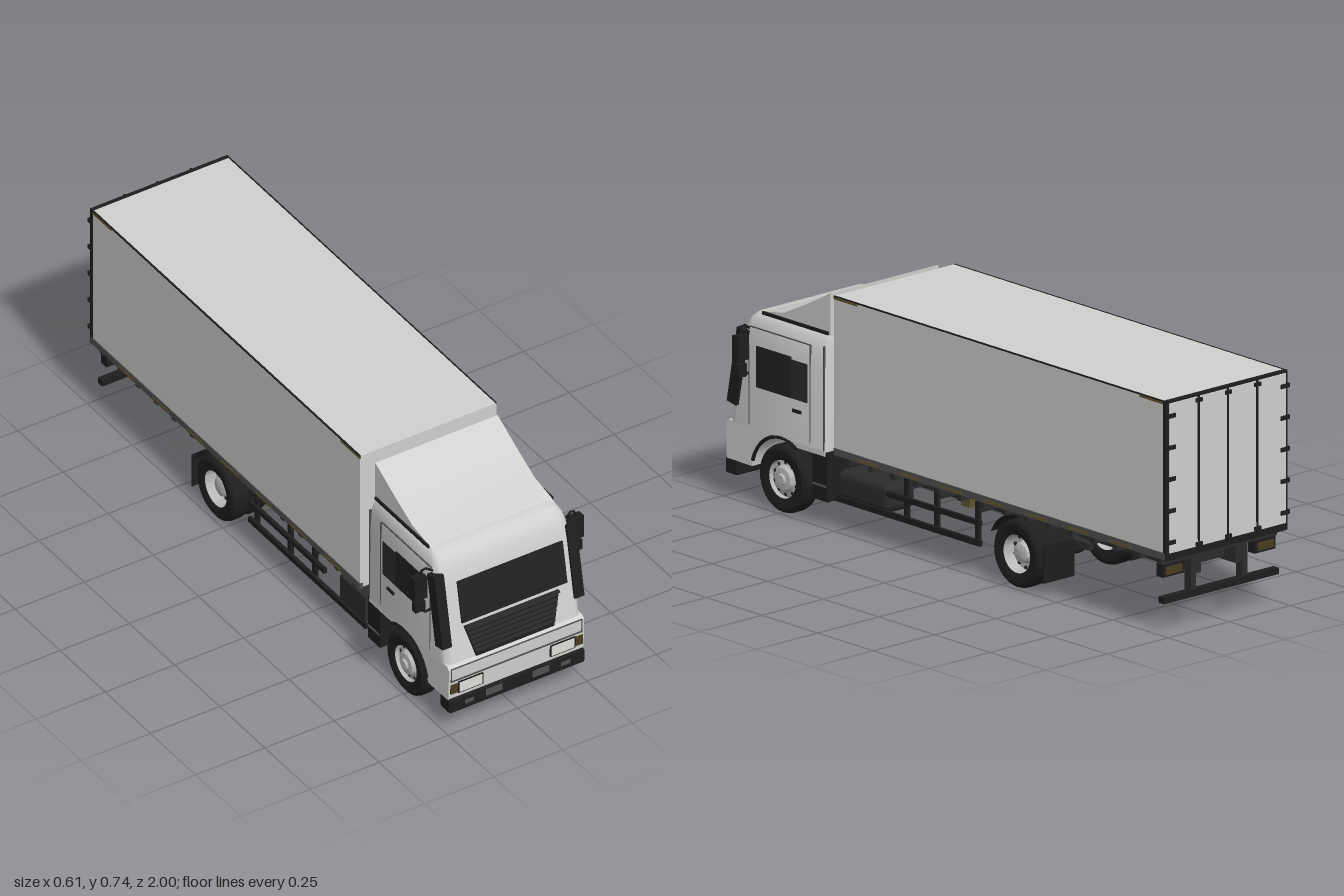
import * as THREE from 'three';
import { toCreasedNormals } from 'three/addons/utils/BufferGeometryUtils.js';
import { RoundedBoxGeometry } from 'three/addons/geometries/RoundedBoxGeometry.js';

const mat = (name, color, side = THREE.FrontSide) => {
  const m = new THREE.MeshStandardMaterial({ color, side });
  m.name = name;
  return m;
};

export function createModel() {
  const truck = new THREE.Group();
  truck.name = 'boxTruck';
  const body = mat('bodyWhite', 0xd0d0ce);
  const black = mat('blackPlastic', 0x1e1e1e, THREE.DoubleSide);
  const chassis = mat('chassisDark', 0x2c2c2c);
  const glass = mat('darkGlass', 0x222222);
  const grey = mat('trimGrey', 0x505050);
  const metal = mat('rimMetal', 0xb8b8b6, THREE.DoubleSide);
  const lens = mat('lampLens', 0xdededa);
  const amber = mat('amberLens', 0x4a3c20);
  const olive = mat('markerOlive', 0x62562f);

  const add = (name, geo, m, parent = truck) => {
    const mesh = new THREE.Mesh(geo, m);
    mesh.name = name;
    parent.add(mesh);
    return mesh;
  };
  // Box given by its limits on each axis
  const box = (name, m, x0, x1, y0, y1, z0, z1, parent) => {
    const b = add(name, new THREE.BoxGeometry(Math.abs(x1 - x0), y1 - y0, z1 - z0), m, parent);
    b.position.set((x0 + x1) / 2, (y0 + y1) / 2, (z0 + z1) / 2);
    return b;
  };
  const pair = (f) => [1, -1].forEach(f);
  // Box repeated on both sides
  const boxes = (name, m, x0, x1, ...r) => pair((s) => box(name, m, s * x0, s * x1, ...r));
  const rod = (name, m, r, pts) => add(name, new THREE.TubeGeometry(
    new THREE.CatmullRomCurve3(pts.map((p) => new THREE.Vector3(...p)), false, 'catmullrom', 0.1), 12, r, 6), m);
  // Side outline in (z, y) extruded across the width
  const acrossX = (shape, width) => {
    const g = new THREE.ExtrudeGeometry(shape, { depth: width, bevelEnabled: false, curveSegments: 20 });
    return toCreasedNormals(g.translate(0, 0, -width / 2).rotateY(-Math.PI / 2), 0.6);
  };

  // Upper cab: rounded rectangles stacked upward [y, half width, front z]
  const rings = [[0.24, 0.245, 0.983], [0.5, 0.243, 0.934], [0.555, 0.239, 0.922],
    [0.585, 0.232, 0.908], [0.602, 0.222, 0.888], [0.608, 0.205, 0.86]];
  const verts = [], faces = [], n = 24;
  rings.forEach(([y, w, zf]) => {
    for (let q = 0; q < 4; q++) {
      const r = q < 2 ? 0.03 : 0.008;
      const cx = (q === 0 || q === 3 ? 1 : -1) * (w - r), cz = q < 2 ? zf - r : 0.55 + r;
      for (let k = 0; k < 6; k++) {
        const a = (q + k / 5) * Math.PI / 2;
        verts.push(cx + r * Math.cos(a), y, cz + r * Math.sin(a));
      }
    }
  });
  for (let i = 0; i < rings.length - 1; i++) for (let j = 0; j < n; j++) {
    const a = i * n + j, b = i * n + (j + 1) % n;
    faces.push(a, a + n, b + n, a, b + n, b);
  }
  const top = (rings.length - 1) * n;
  verts.push(0, 0.608, 0.7);
  for (let j = 0; j < n; j++) faces.push(top + n, top + (j + 1) % n, top + j);
  const cabGeo = new THREE.BufferGeometry();
  cabGeo.setAttribute('position', new THREE.Float32BufferAttribute(verts, 3));
  cabGeo.setIndex(faces);
  add('cabUpper', toCreasedNormals(cabGeo, 0.7), body);

  // Lower cab with wheel arch
  const low = new THREE.Shape();
  low.moveTo(0.55, 0.223);
  low.lineTo(0.68, 0.223);
  low.absarc(0.746, 0.107, 0.132, 2.05, 0.1, true);
  low.lineTo(0.99, 0.122);
  low.lineTo(0.994, 0.235);
  low.lineTo(0.982, 0.245);
  low.lineTo(0.55, 0.245);
  add('cabLower', acrossX(low, 0.488), body);
  pair((s) => {
    const arch = add('wheelArchTrim', new THREE.TorusGeometry(0.132, 0.006, 6, 20, 1.9), black);
    arch.rotation.set(0, -Math.PI / 2, 0);
    arch.geometry.rotateZ(0.25);
    arch.position.set(s * 0.243, 0.107, 0.746);
  });

  // Roof air deflector
  const fin = new THREE.Shape([[0.55, 0.6], [0.87, 0.6], [0.845, 0.611], [0.757, 0.627],
    [0.66, 0.675], [0.55, 0.735]].map((p) => new THREE.Vector2(...p)));
  add('roofDeflector', acrossX(fin, 0.442), body);
  boxes('deflectorBaseTrim', black, 0.221, 0.227, 0.602, 0.612, 0.555, 0.85);

  // Plates lying on the sloped cab front
  const slope = 0.188, frontZ = (y) => 0.982 - (y - 0.245) * slope;
  const onFront = (name, m, x0, x1, y0, y1, t, out = 0) => {
    const b = box(name, m, x0, x1, y0, y1, -t / 2, t / 2);
    b.position.z = frontZ((y0 + y1) / 2) + out;
    b.rotation.x = -Math.atan(slope);
  };
  onFront('windscreen', glass, -0.177, 0.203, 0.368, 0.51, 0.008, 0.002);
  onFront('wiper', black, -0.17, 0.13, 0.384, 0.388, 0.006, 0.006);
  const gr = new THREE.Shape([[-0.14, -0.055], [0.14, -0.055], [0.17, 0.055], [-0.17, 0.055]]
    .map((p) => new THREE.Vector2(...p)));
  const grille = add('grille', new THREE.ExtrudeGeometry(gr, { depth: 0.006, bevelEnabled: false }), black);
  grille.position.set(0, 0.3, frontZ(0.3));
  grille.rotation.x = -Math.atan(slope);
  for (let i = 0; i < 6; i++) {
    const y = 0.262 + i * 0.016, w = 0.14 + (y - 0.25) * 0.27;
    onFront('grilleSlat', chassis, -w, w, y, y + 0.008, 0.012, 0.005);
  }
  onFront('grilleTopBar', chassis, -0.17, 0.17, 0.35, 0.357, 0.018, 0.004);
  pair((s) => onFront('cornerVane', black, s * 0.222, s * 0.256, 0.302, 0.55, 0.042, -0.014));

  // Front panel seams, lamps and bumper
  box('panelSeam', grey, -0.236, 0.236, 0.189, 0.193, 0.985, 0.996);
  box('panelTopSeam', grey, -0.236, 0.236, 0.235, 0.237, 0.985, 0.996);
  boxes('panelEndSeam', grey, 0.234, 0.237, 0.19, 0.237, 0.985, 0.996);
  boxes('headlampFrame', black, 0.121, 0.211, 0.14, 0.182, 0.985, 0.995);
  boxes('headlamp', lens, 0.125, 0.207, 0.144, 0.178, 0.988, 0.997);
  boxes('indicator', amber, 0.213, 0.238, 0.145, 0.178, 0.985, 0.996);
  const bumper = add('bumper', new RoundedBoxGeometry(0.49, 0.052, 0.055, 2, 0.008), black);
  bumper.position.set(0, 0.1, 0.971);
  boxes('fogLamp', grey, 0.055, 0.114, 0.093, 0.117, 0.99, 1.0);
  boxes('smallFogLamp', grey, 0.157, 0.19, 0.094, 0.108, 0.99, 1.0);

  pair((s) => {
    // Door details
    box('sideWindow', glass, s * 0.24, s * 0.2465, 0.375, 0.505, 0.7, 0.855);
    box('rearSideWindow', chassis, s * 0.24, s * 0.246, 0.375, 0.497, 0.628, 0.7);
    box('doorHandle', black, s * 0.242, s * 0.249, 0.334, 0.344, 0.655, 0.692);
    box('doorRearSeam', grey, s * 0.24, s * 0.2455, 0.25, 0.56, 0.614, 0.617);
    box('doorFrontSeam', grey, s * 0.24, s * 0.2455, 0.25, 0.5, 0.888, 0.891);
    box('doorTopSeam', grey, s * 0.234, s * 0.2415, 0.558, 0.561, 0.614, 0.89);
    box('cabRearTrim', grey, s * 0.238, s * 0.2455, 0.24, 0.57, 0.552, 0.557);
    // Mirrors and their arms
    box('mirror', black, s * 0.261, s * 0.305, 0.462, 0.541, 0.872, 0.9);
    box('wideMirror', black, s * 0.266, s * 0.301, 0.415, 0.45, 0.875, 0.897);
    rod('mirrorArm', black, 0.004, [[s * 0.235, 0.55, 0.895], [s * 0.263, 0.568, 0.892], [s * 0.281, 0.555, 0.887], [s * 0.283, 0.42, 0.887]]);
    rod('mirrorLowerArm', black, 0.004, [[s * 0.242, 0.412, 0.895], [s * 0.262, 0.405, 0.892], [s * 0.283, 0.42, 0.887]]);
    // Cab steps behind the front wheel
    box('stepHousing', black, s * 0.165, s * 0.241, 0.08, 0.235, 0.54, 0.608);
    box('stepTread', grey, s * 0.17, s * 0.245, 0.125, 0.131, 0.545, 0.605);
  });

  // Cargo box
  box('cargoBox', body, -0.246, 0.246, 0.245, 0.742, -0.985, 0.505);
  box('cargoFloor', chassis, -0.24, 0.24, 0.236, 0.246, -0.98, 0.5);
  boxes('cargoLowerRail', grey, 0.235, 0.249, 0.24, 0.262, -0.985, 0.505);
  boxes('cargoTopTrim', black, 0.243, 0.248, 0.739, 0.743, -0.985, 0.505);
  for (let i = 0; i < 7; i++) boxes('railMarker', olive, 0.245, 0.2505, 0.243, 0.252, 0.31 - i * 0.19, 0.4 - i * 0.19);
  boxes('frontTopMarker', olive, 0.243, 0.2485, 0.732, 0.7395, 0.4, 0.505);
  boxes('rearTopMarker', olive, 0.243, 0.2485, 0.732, 0.7395, -0.975, -0.87);

  // Rear doors: frame, panels, lock rods and hinges
  box('rearFrame', black, -0.248, 0.248, 0.238, 0.743, -0.989, -0.975);
  for (let i = 0; i < 4; i++) {
    const x = -0.238 + i * 0.12;
    box('rearDoorPanel', body, x, x + 0.115, 0.262, 0.735, -0.993, -0.985);
  }
  for (let i = -1; i <= 1; i++) {
    rod('lockRod', black, 0.004, [[i * 0.12, 0.25, -0.994], [i * 0.12, 0.74, -0.994]]);
    [0.27, 0.725].forEach((y) => box('lockKeeper', black, i * 0.12 - 0.012, i * 0.12 + 0.012, y - 0.006, y + 0.006, -1, -0.988));
  }
  for (let i = 0; i < 5; i++) boxes('hinge', black, 0.215, 0.251, 0.29 + i * 0.1, 0.303 + i * 0.1, -0.998, -0.98);

  // Chassis rails and cross members
  boxes('chassisRail', chassis, 0.07, 0.095, 0.16, 0.226, -0.95, 0.93);
  for (let i = 0; i < 15; i++) box('floorBearer', chassis, -0.236, 0.236, 0.216, 0.238, -0.955 + i * 0.1, -0.935 + i * 0.1);
  for (let i = 0; i < 5; i++) box('crossMember', chassis, -0.075, 0.075, 0.17, 0.215, -0.9 + i * 0.33, -0.87 + i * 0.33);
  box('engine', chassis, -0.065, 0.065, 0.11, 0.24, 0.5, 0.92);
  const shaft = add('driveShaft', new THREE.CylinderGeometry(0.014, 0.014, 0.84, 10), chassis);
  shaft.rotation.x = Math.PI / 2;
  shaft.position.set(0, 0.13, 0.1);
  add('differential', new THREE.SphereGeometry(0.045, 14, 10), chassis).position.set(0, 0.107, -0.307);

  // Fuel tank, battery box and air tanks
  const tank = add('fuelTank', new RoundedBoxGeometry(0.115, 0.092, 0.24, 3, 0.025), chassis);
  tank.position.set(0.172, 0.142, 0.398);
  box('batteryBox', chassis, -0.225, -0.115, 0.105, 0.195, 0.36, 0.5);
  [0.1, 0.24].forEach((z) => {
    const t = add('airTank', new THREE.CylinderGeometry(0.032, 0.032, 0.11, 14).rotateX(Math.PI / 2), chassis);
    t.position.set(-0.15, 0.175, z);
  });
  boxes('valveBox', olive, 0.11, 0.15, 0.165, 0.205, 0.0, 0.04);

  // Side guards
  pair((s) => {
    box('guardLowerRail', black, s * 0.222, s * 0.234, 0.09, 0.108, -0.135, 0.515);
    box('guardUpperRail', black, s * 0.222, s * 0.234, 0.155, 0.171, -0.135, 0.285);
    [0.21, 0.075, -0.11].forEach((z) => {
      box('guardPost', black, s * 0.21, s * 0.222, 0.09, 0.225, z - 0.008, z + 0.008);
      box('guardBracket', chassis, s * 0.095, s * 0.222, 0.19, 0.205, z - 0.008, z + 0.008);
    });
  });

  // Rear underrun bar and lamps
  box('underrunBar', black, -0.235, 0.235, 0.095, 0.115, -0.965, -0.94);
  boxes('underrunPost', chassis, 0.095, 0.115, 0.1, 0.22, -0.955, -0.925);
  boxes('rearLamp', black, 0.145, 0.23, 0.175, 0.215, -0.955, -0.925);
  boxes('rearLampLens', amber, 0.155, 0.22, 0.183, 0.207, -0.96, -0.95);

  // Wheels, with the axle along x
  const lathe = (pts, seg = 36) => toCreasedNormals(new THREE.LatheGeometry(
    pts.map((p) => new THREE.Vector2(...p)), seg).rotateZ(-Math.PI / 2), 0.6);
  const tyreGeo = lathe([[0.06, -0.027], [0.07, -0.032], [0.094, -0.032], [0.104, -0.025],
    [0.107, -0.015], [0.107, 0.015], [0.104, 0.025], [0.094, 0.032], [0.07, 0.032], [0.06, 0.027]]);
  const frontRim = lathe([[0.064, 0.029], [0.059, 0.012], [0.043, 0.016], [0.035, 0.028], [0.018, 0.03], [0.015, 0.037], [0, 0.037]]);
  const rearRim = lathe([[0.064, 0.029], [0.057, -0.012], [0.036, -0.012], [0.03, 0.012], [0.02, 0.016], [0, 0.016]]);
  const wheel = (name, x, z, rim, face) => {
    const g = new THREE.Group();
    g.name = name;
    g.position.set(x, 0.107, z);
    if (face < 0) g.rotation.y = Math.PI;
    add('tyre', tyreGeo, black, g);
    add('rim', rim, metal, g);
    for (let i = 0; i < 10; i++) {
      const a = i * Math.PI / 5;
      const hole = add('rimHole', new THREE.CylinderGeometry(0.006, 0.006, 0.006, 8).rotateZ(Math.PI / 2), chassis, g);
      hole.position.set(rim === frontRim ? 0.0125 : -0.011, 0.05 * Math.cos(a), 0.05 * Math.sin(a));
    }
    truck.add(g);
  };
  pair((s) => {
    wheel('frontWheel', s * 0.211, 0.746, frontRim, s);
    wheel('rearOuterWheel', s * 0.211, -0.307, rearRim, s);
    wheel('rearInnerWheel', s * 0.148, -0.307, rearRim, -s);
    // Rear mudguard and flap
    const guard = add('rearMudguard', new THREE.CylinderGeometry(0.122, 0.122, 0.125, 20, 1, true, -0.4, 2.4)
      .rotateZ(Math.PI / 2), black);
    guard.geometry.rotateX(-0.8 + Math.PI / 2 - Math.PI / 2);
    guard.position.set(s * 0.18, 0.107, -0.307);
    box('mudFlap', black, s * 0.118, s * 0.243, 0.042, 0.16, -0.434, -0.429);
  });
  [0.746, -0.307].forEach((z) => {
    const axle = add('axle', new THREE.CylinderGeometry(0.018, 0.018, 0.36, 10).rotateZ(Math.PI / 2), chassis);
    axle.position.set(0, 0.107, z);
  });
  boxes('leafSpring', chassis, 0.072, 0.093, 0.125, 0.145, -0.47, -0.14);
  return truck;
}
